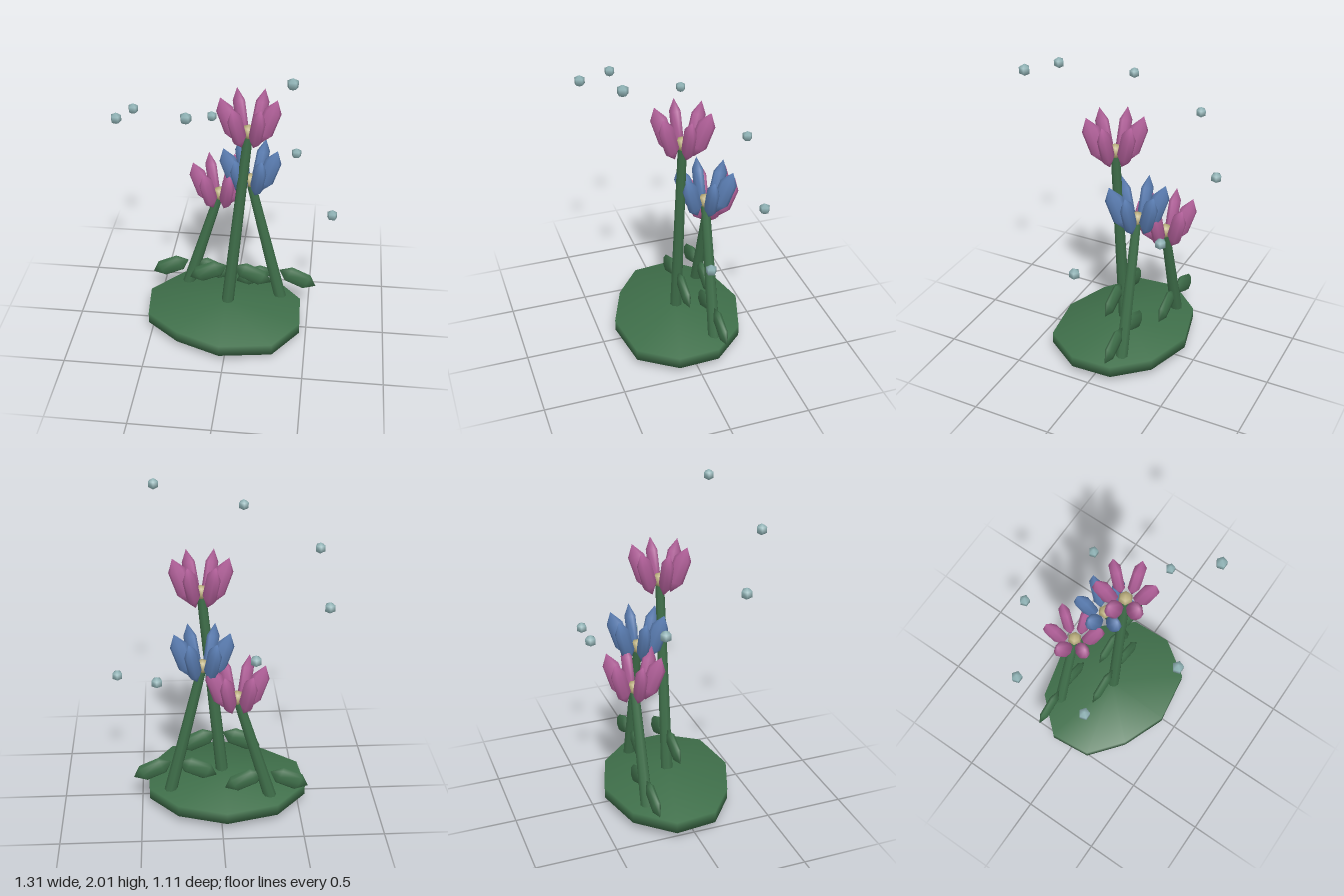
import * as THREE from 'three';

const DEG = Math.PI / 180;

function material(name, color) {
  const m = new THREE.MeshStandardMaterial({ color });
  m.name = name;
  return m;
}

// Closed mound: two rings following one outline, joined to a top and a bottom point.
function moundGeometry(outline, cx, yBottom, yLow, yHigh, yTop) {
  const n = outline.length, pos = [], index = [];
  for (const y of [yLow, yHigh]) for (const [x, z] of outline) pos.push(x, y, z);
  pos.push(cx, yBottom, 0, cx, yTop, 0);
  for (let i = 0; i < n; i++) {
    const j = (i + 1) % n;
    index.push(i, n + i, j, j, n + i, n + j);
    index.push(n + i, 2 * n + 1, n + j, i, j, 2 * n);
  }
  const g = new THREE.BufferGeometry();
  g.setAttribute('position', new THREE.Float32BufferAttribute(pos, 3));
  g.setIndex(index);
  g.computeVertexNormals();
  return g;
}

export function createModel() {
  const root = new THREE.Group();
  root.name = 'flowerCluster';

  const green = material('leaf green', 0x3f6f4a);
  const pink = material('petal pink', 0xb2609a);
  const blue = material('petal blue', 0x5a7db2);
  const yellow = material('pale yellow', 0xb8ac7c);
  const teal = material('pale teal', 0x8fb2b5);

  const add = (parent, name, geo, mat, x = 0, y = 0, z = 0) => {
    const m = new THREE.Mesh(geo, mat);
    m.name = name;
    m.position.set(x, y, z);
    parent.add(m);
    return m;
  };

  // Ground mound, outline listed clockwise from above starting at the back
  const outline = [
    [-0.03, -0.425], [-0.35, -0.345], [-0.545, -0.13], [-0.52, 0.13], [-0.31, 0.30],
    [-0.03, 0.41], [0.30, 0.36], [0.46, 0.13], [0.45, -0.13], [0.27, -0.33],
  ].reverse();
  add(root, 'mound', moundGeometry(outline, -0.03, 0, 0.055, 0.13, 0.19), green);

  // Shared faceted blobs
  const blob = new THREE.SphereGeometry(1, 8, 3);
  const core = new THREE.SphereGeometry(0.045, 6, 4).rotateY(Math.PI / 2);

  // Each plant: stem foot, flower centre, leaf height, petal colour
  const plants = [
    { name: 'frontPlant', foot: [-0.025, 0.1], head: [0.108, 1.44], z: 0, leafX: 0, leafY: 0.405, color: pink },
    { name: 'middlePlant', foot: [0.318, 0.125], head: [0.108, 1.02], z: -0.145, leafX: 0.285, leafY: 0.29, color: blue },
    { name: 'backPlant', foot: [-0.31, 0.125], head: [-0.096, 0.85], z: -0.24, leafX: -0.285, leafY: 0.255, color: pink },
  ];

  for (const p of plants) {
    const plant = new THREE.Group();
    plant.name = p.name;
    plant.position.z = p.z;
    root.add(plant);

    // Leaning tapered stem
    const dx = p.head[0] - p.foot[0], dy = p.head[1] - p.foot[1];
    const stem = add(plant, 'stem', new THREE.CylinderGeometry(0.028, 0.04, Math.hypot(dx, dy), 8), green,
      (p.foot[0] + p.head[0]) / 2, (p.foot[1] + p.head[1]) / 2);
    stem.rotation.z = -Math.atan2(dx, dy);

    // A pair of drooping leaves
    for (const s of [1, -1]) {
      const leaf = add(plant, s > 0 ? 'leftLeaf' : 'rightLeaf', blob, green, p.leafX + s * 0.142, p.leafY);
      leaf.scale.set(0.068, 0.132, 0.031);
      leaf.rotation.z = -s * 115 * DEG;
    }

    // Flower head: centre and six upright petals leaning outward
    const flower = new THREE.Group();
    flower.name = 'flower';
    flower.position.set(p.head[0], p.head[1], 0);
    plant.add(flower);
    add(flower, 'flowerCentre', core, yellow);
    for (let i = 0; i < 6; i++) {
      const arm = new THREE.Group();
      arm.name = 'petalArm';
      arm.rotation.y = i * 60 * DEG;
      flower.add(arm);
      const petal = add(arm, 'petal', blob, p.color, 0.117, 0.07);
      petal.scale.set(0.06, 0.155, 0.04);
      petal.rotation.z = -19 * DEG;
    }
  }

  // Floating motes rising in a spiral
  const mote = new THREE.SphereGeometry(0.036, 5, 3).rotateY(-Math.PI / 2);
  for (let i = 0; i < 7; i++) {
    const a = (i * Math.PI * 2) / 7;
    add(root, 'mote', mote, teal, 0.66 * Math.cos(a) - 0.033, 0.89 + 0.18 * i, -0.54 * Math.sin(a));
  }

  return root;
}
